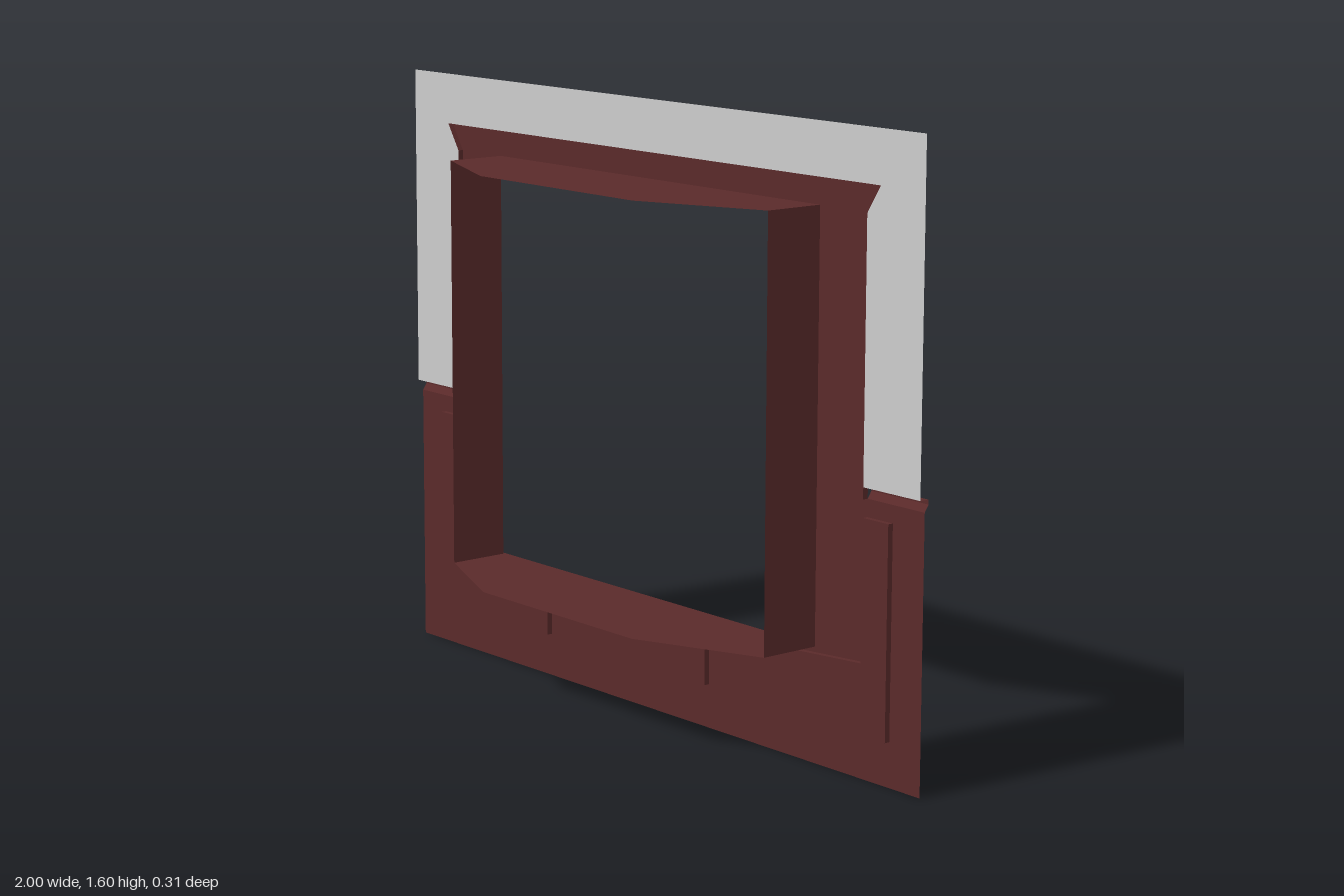
import * as THREE from 'three';

const FRONT = -0.13, FACE = -0.145, BACK = -0.157;

export function createModel() {
  const model = new THREE.Group();
  const wood = new THREE.MeshStandardMaterial({ color: 0x5a2a2a, side: THREE.DoubleSide, flatShading: true });
  const plaster = new THREE.MeshStandardMaterial({ color: 0xcccccc, side: THREE.DoubleSide, flatShading: true });

  const add = (name, geometry, material = wood) => {
    const mesh = new THREE.Mesh(geometry, material);
    mesh.name = name;
    model.add(mesh);
    return mesh;
  };
  const toShape = (pts) => new THREE.Shape(pts.map(([x, y]) => new THREE.Vector2(x, y)));
  // Flat sheet facing z, with optional holes
  const sheet = (name, pts, z, holes = [], material = wood) => {
    const shape = toShape(pts);
    holes.forEach((h) => shape.holes.push(toShape(h)));
    add(name, new THREE.ShapeGeometry(shape).translate(0, 0, z), material);
  };
  // Strip of quads joining two matching 3D polylines
  const strip = (name, a, b) => {
    const pos = [];
    for (let i = 0; i < a.length - 1; i++) {
      pos.push(...a[i], ...b[i], ...b[i + 1], ...a[i], ...b[i + 1], ...a[i + 1]);
    }
    const g = new THREE.BufferGeometry();
    g.setAttribute('position', new THREE.Float32BufferAttribute(pos, 3));
    g.computeVertexNormals();
    add(name, g);
  };
  // Walls along an xy outline between two depths
  const rim = (name, pts, z0, z1) =>
    strip(name, pts.map(([x, y]) => [x, y, z0]), pts.map(([x, y]) => [x, y, z1]));
  const mirror = (pts) => pts.map(([x, y]) => [-x, y]).reverse();

  // Outlines
  const L = -0.635, R = 0.625, B = 0.297, T = 1.39;
  const opening = [[L, B], [R, B], [R, T], [L, T]];
  const cornerPanel = [[0.42, 0.115], [0.893, 0.115], [0.893, 0.655], [0.805, 0.655], [0.805, 0.295], [0.42, 0.27]];
  const centrePanel = [[-0.207, 0.115], [0.228, 0.115], [0.228, 0.22], [-0.207, 0.22]];
  const panels = { leftPanel: cornerPanel, centrePanel, rightPanel: mirror(cornerPanel) };
  const flare = [[0.805, 0.73], [0.805, 1.39], [0.85, 1.46]];

  // Wainscot and window frame in one plane
  const halfFrame = [[1, 0], [1, 0.7], [0.805, 0.7], ...flare.slice(1)];
  sheet('wainscotAndFrame', [...halfFrame, ...mirror(halfFrame)], FACE, [opening, ...Object.values(panels)]);

  // Recessed panels with their rims
  for (const [name, pts] of Object.entries(panels)) {
    sheet(name, pts, FRONT);
    rim(name + 'Rim', [...pts, pts[0]], FACE, FRONT);
  }

  // Upper wall around the frame
  sheet('upperWall', [[1, 0.73], [1, 1.595], [-1, 1.595], [-1, 0.73], ...mirror(flare).reverse(), ...[...flare].reverse()],
    FRONT, [], plaster);

  // Frame edges and chair rails on both sides
  const railProfile = [[0.7, FACE], [0.718, BACK], [0.73, BACK], [0.73, FRONT]];
  for (const [side, s] of [['left', 1], ['right', -1]]) {
    rim(side + 'FrameEdge', [[0.805, 0.7], ...flare].map(([x, y]) => [s * x, y]), FACE, FRONT);
    strip(side + 'ChairRail', railProfile.map(([y, z]) => [s * 0.805, y, z]),
      railProfile.map(([y, z]) => [s, y, z]));
  }

  // Sill moulding
  add('sill', new THREE.BoxGeometry(1.72, 0.027, 0.008)).position.set(0, 0.2835, -0.149);

  // Bay: two cheeks, floor and ceiling
  const bay = [[L, FACE], [R, FACE], [R, 0.022], [0.285, 0.157], [-0.325, 0.157], [L, 0.022]];
  for (const [name, y] of [['bayFloor', B], ['bayCeiling', T]]) {
    add(name, new THREE.ShapeGeometry(toShape(bay)).rotateX(Math.PI / 2)).position.y = y;
  }
  for (const [name, x] of [['bayLeftCheek', R], ['bayRightCheek', L]]) {
    rim(name, [[x, B], [x, T]], FACE, 0.022);
  }
  return model;
}
